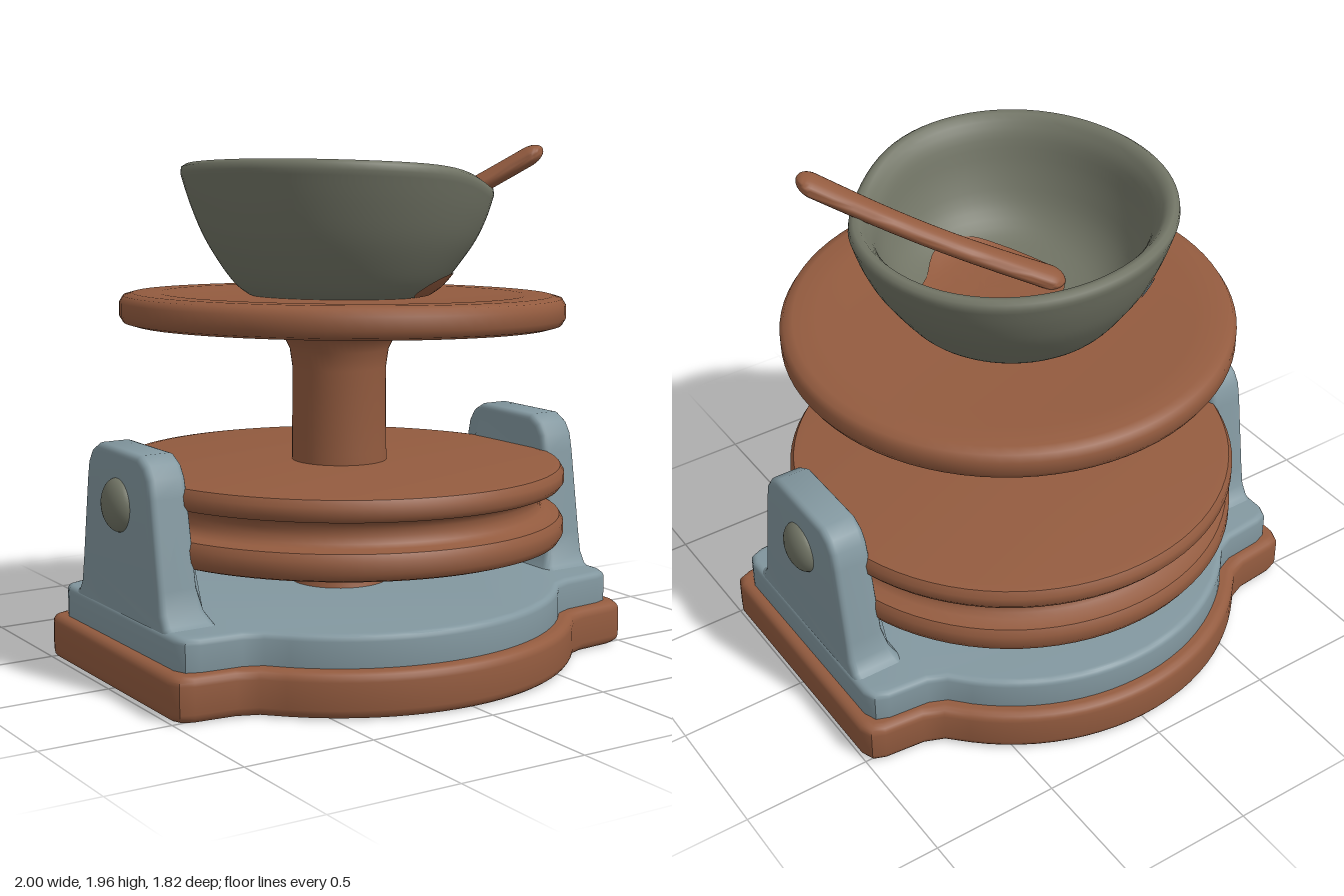
import * as THREE from 'three';
import { toCreasedNormals } from 'three/addons/utils/BufferGeometryUtils.js';

const paint = (name, color) => {
  const m = new THREE.MeshStandardMaterial({ color });
  m.name = name;
  return m;
};

export function createModel() {
  const clay = paint('clay brown', 0x935b3f);
  const slate = paint('slate blue', 0x82979f);
  const olive = paint('olive grey', 0x717465);
  const model = new THREE.Group();

  const add = (name, geometry, material, parent = model) => {
    const mesh = new THREE.Mesh(geometry, material);
    mesh.name = name;
    parent.add(mesh);
    return mesh;
  };
  const vec = (pts) => pts.map(([x, y]) => new THREE.Vector2(x, y));
  const lathe = (pts, segs = 72) => toCreasedNormals(new THREE.LatheGeometry(vec(pts), segs), 0.8);
  // Moves every vertex by a rule
  const warp = (geo, rule) => {
    const p = geo.attributes.position, v = new THREE.Vector3();
    for (let i = 0; i < p.count; i++) {
      rule(v.fromBufferAttribute(p, i));
      p.setXYZ(i, v.x, v.y, v.z);
    }
    geo.computeVertexNormals();
    return geo;
  };
  const slab = (shape, height, bevel) => new THREE.ExtrudeGeometry(shape, {
    depth: height - 2 * bevel, bevelThickness: bevel, bevelSize: bevel,
    bevelOffset: -bevel, bevelSegments: 4, curveSegments: 8,
  }).translate(0, 0, bevel);

  // Base outline: a disc with a rectangular wing on each side
  const outline = (r, hx, hz) => {
    const q = [];
    for (let a = 90; a >= 46; a -= 4) {
      const t = a * Math.PI / 180;
      q.push([r * Math.cos(t), r * Math.sin(t)]);
    }
    q.push([r * 0.77, hz + 0.045], [r * 0.85, hz + 0.015], [hx - 0.07, hz],
      [hx - 0.02, hz - 0.02], [hx, hz - 0.07]);
    const back = [...q].reverse();
    return new THREE.Shape(vec([
      ...q,
      ...back.map(([x, y]) => [x, -y]),
      ...q.slice(1).map(([x, y]) => [-x, -y]),
      ...back.slice(0, -1).map(([x, y]) => [-x, y]),
    ]));
  };
  const basePart = (name, shape, y, height, bevel, material) =>
    add(name, toCreasedNormals(slab(shape, height, bevel).rotateX(-Math.PI / 2), 0.7), material)
      .position.y = y;
  basePart('basePlate', outline(0.91, 1, 0.54), 0, 0.17, 0.035, clay);
  basePart('baseDeck', outline(0.855, 0.955, 0.5), 0.13, 0.16, 0.025, slate);

  // Side brackets with flared feet, and a domed bolt on each
  const half = [[0.4, 0.2], [0.4, 0.28], [0.355, 0.3], [0.33, 0.34], [0.315, 0.42],
    [0.265, 0.74], [0.25, 0.81], [0.22, 0.855], [0.165, 0.885]];
  const bracketShape = new THREE.Shape(vec([...half, ...[...half].reverse().map(([x, y]) => [-x, y])]));
  for (const side of [1, -1]) {
    const bracket = new THREE.Group();
    bracket.name = side > 0 ? 'leftBracket' : 'rightBracket';
    bracket.rotation.y = side > 0 ? 0 : Math.PI;
    model.add(bracket);
    const plate = slab(bracketShape, 0.15, 0.025).rotateY(Math.PI / 2).translate(0.8, 0, 0);
    warp(plate, (v) => {
      const flare = Math.max(0, (0.42 - v.y) / 0.14);
      if (v.x < 0.87) v.x -= Math.min(0.07, 0.05 * flare * flare) + 0.02 * Math.max(0, 0.8 - v.y);
    });
    add('bracketPlate', toCreasedNormals(plate, 0.7), slate, bracket);
    const bolt = add('bolt', new THREE.SphereGeometry(0.1, 28, 18), olive, bracket);
    bolt.scale.x = 0.55;
    bolt.position.set(0.945, 0.68, 0);
  }

  // Column with a flare under the tray
  add('column', lathe([[0.2, 0.27], [0.18, 0.32], [0.175, 0.4], [0.185, 0.7], [0.182, 0.8],
    [0.18, 1.12], [0.19, 1.19], [0.215, 1.24], [0.26, 1.275], [0.3, 1.3]], 48), clay);

  // Grooved wheel, tilted a little
  const wheel = add('groovedWheel', lathe([[0, -0.15], [0.82, -0.15], [0.85, -0.14], [0.865, -0.115],
    [0.865, -0.07], [0.85, -0.045], [0.8, -0.038], [0.78, -0.025], [0.77, 0], [0.77, 0.025],
    [0.78, 0.045], [0.8, 0.058], [0.85, 0.065], [0.865, 0.085], [0.865, 0.12],
    [0.85, 0.145], [0.82, 0.15], [0, 0.15]], 80), clay);
  wheel.position.y = 0.61;
  wheel.rotation.set(-0.008, 0, -0.012);

  // Round tray, tilted a little
  const tray = new THREE.Group();
  tray.name = 'tray';
  tray.position.set(0.015, 1.4, 0);
  tray.rotation.set(-0.03, 0, -0.028);
  model.add(tray);
  add('trayDisc', lathe([[0, -0.12], [0.8, -0.12], [0.835, -0.11], [0.85, -0.085], [0.85, -0.035],
    [0.835, -0.01], [0.8, 0], [0.7, 0], [0.6, -0.008], [0, -0.008]], 80), clay, tray);
  const under = new THREE.RingGeometry(0, 1, 32, 1).rotateX(Math.PI / 2).scale(0.22, 1, 0.19);
  add('trayUnderPatch', under.translate(0.36, -0.124, 0.36), olive, tray);

  // Bowl: a turned profile with an uneven rim that dips where the spoon rests
  const floorY = 1.4;
  const bowlWarp = (v) => {
    const a = Math.atan2(v.x, v.z), r = Math.hypot(v.x, v.z);
    const k = r < 1e-6 ? 0 : 1;
    const dip = Math.exp(-(((a - 0.85) / 0.45) ** 2));
    const rim = 1.867 + k * (-0.04 * Math.sin(a) + 0.035 * Math.cos(a) - 0.055 * dip);
    const lift = THREE.MathUtils.smoothstep(v.y, 0.05, 0.46);
    v.y = floorY + v.y + (rim - 1.86) * lift;
    const wobble = 1 + 0.015 * Math.cos(3 * a + 0.6) * lift;
    v.x = v.x * wobble + 0.01;
    v.z = v.z * wobble - 0.015;
  };
  const outer = new THREE.SplineCurve(vec([[0.35, 0], [0.4, 0.04], [0.46, 0.12], [0.52, 0.22],
    [0.565, 0.33], [0.595, 0.43]]));
  const inner = new THREE.SplineCurve(vec([[0.535, 0.44], [0.505, 0.39], [0.47, 0.28], [0.41, 0.17],
    [0.31, 0.1], [0.15, 0.075], [0, 0.07]]));
  const profile = [new THREE.Vector2(0, 0), ...outer.getPoints(20),
    ...vec([[0.592, 0.453], [0.575, 0.464], [0.552, 0.46]]), ...inner.getPoints(22)];
  profile[profile.length - 1].x = 0;
  add('bowl', toCreasedNormals(warp(new THREE.LatheGeometry(profile, 80), bowlWarp), 0.9), olive);

  // Painted patches that follow the bowl wall
  const wallPatch = (name, angle, spread, mid, reach, material) => {
    const geo = new THREE.RingGeometry(0, 1, 28, 5);
    warp(geo, (v) => {
      const a = angle + v.x * spread;
      const p = outer.getPoint(THREE.MathUtils.clamp(mid + v.y * reach, 0, 1));
      const r = p.x + 0.006;
      v.set(Math.sin(a) * r, p.y, Math.cos(a) * r);
      bowlWarp(v);
    });
    add(name, geo, material);
  };
  wallPatch('bowlStain', 0.75, 0.48, 0.12, 0.2, clay);
  wallPatch('bowlChip', Math.PI * 1.25 - 0.3, 0.07, 0.68, 0.07, slate);

  // Uneven brown patch on the bowl floor
  const innerPts = inner.getPoints(60);
  const food = warp(new THREE.RingGeometry(0, 1, 40, 8).rotateX(-Math.PI / 2), (v) => {
    const a = Math.atan2(v.z, v.x);
    const k = 0.27 + 0.035 * Math.cos(3 * a + 1.2) + 0.025 * Math.cos(2 * a + 0.8);
    v.set(0.07 + v.x * k, 0, 0.07 + v.z * k);
    const r = Math.hypot(v.x, v.z);
    v.y = innerPts.find((p) => p.x <= r + 0.003).y + 0.008;
    bowlWarp(v);
  });
  add('bowlFloorPatch', food, clay);

  // Flat rounded spoon leaning on the rim
  const from = new THREE.Vector3(-0.14, 1.5, -0.04), to = new THREE.Vector3(0.585, 1.915, 0.4);
  const along = to.clone().sub(from), length = along.length();
  along.normalize();
  const across = new THREE.Vector3(0, 1, 0).cross(along).normalize();
  const stick = warp(new THREE.CapsuleGeometry(0.066, length, 10, 24, 12), (v) => {
    const t = v.y / length;
    v.x *= 1 - 0.15 * Math.cos(t * Math.PI);
    v.z = v.z * 0.55 + 0.02 * Math.cos(t * Math.PI);
  });
  const spoon = add('spoon', toCreasedNormals(stick, 1), clay);
  spoon.quaternion.setFromRotationMatrix(
    new THREE.Matrix4().makeBasis(across, along, across.clone().cross(along)));
  spoon.position.copy(from).lerp(to, 0.5);

  return model;
}
